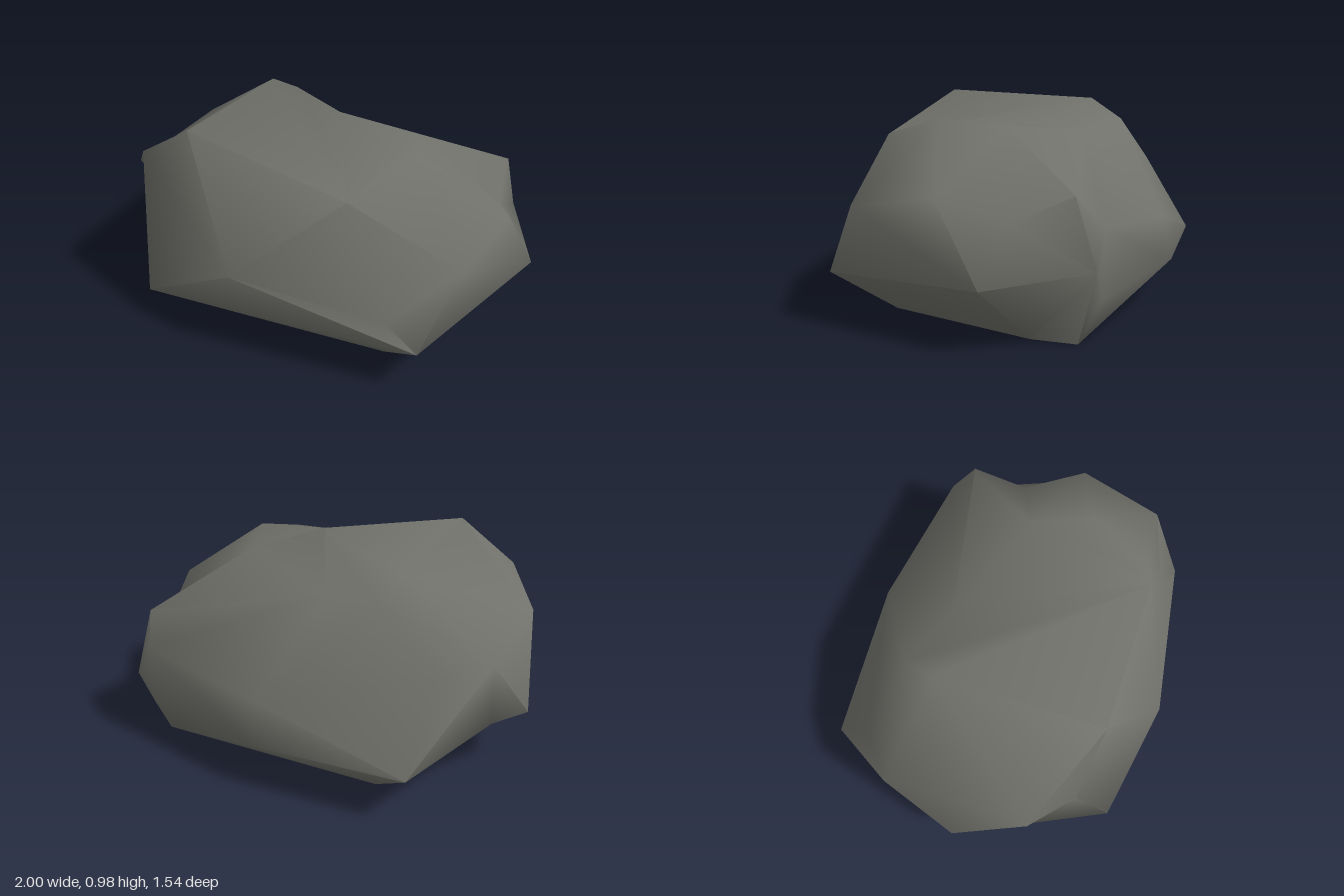
import * as THREE from 'three';
import { toCreasedNormals } from 'three/addons/utils/BufferGeometryUtils.js';

const stone = new THREE.MeshStandardMaterial({ color: 0x70716a });
stone.name = 'dark grey stone';

// Irregular cross-sections, each running front, right, back, left
const base = [[.49, 0, .45], [.7, 0, -.28], [.7, 0, -.49], [-.44, 0, -.49], [-.46, 0, .1], [-.44, 0, .455]];
const belly = [
  [.725, .22, .665], [1, .28, -.16], [.79, .34, -.59], [.705, .2, -.59], [.04, .23, -.77],
  [-.68, .24, -.74], [-.9, .33, -.28], [-1, .28, -.02], [-.65, .15, .68],
];
const shoulder = [
  [-.13, .43, .77], [.56, .3, .62], [.84, .56, .48], [.92, .63, .06], [.8, .52, -.23], [.76, .64, -.49],
  [.7, .5, -.6], [.04, .43, -.73], [-.73, .61, -.5], [-.91, .65, -.35], [-.9, .64, .33], [-.74, .8, .5],
];
const crown = [
  [.34, .81, .55], [.47, .83, .48], [.53, .91, .2], [.43, .88, -.08],
  [-.09, .81, -.3], [-.4, .85, -.42], [-.45, .95, -.25], [-.45, .98, .54],
];

// Joins two rings; each letter steps along the lower (l) or the upper (u) ring
function bridge(lower, upper, steps, out) {
  let i = 0, j = 0;
  const low = (k) => lower[k % lower.length];
  const up = (k) => upper[k % upper.length];
  for (const step of steps) {
    if (step === 'l') {
      out.push(...low(i), ...low(i + 1), ...up(j));
      i++;
    } else {
      out.push(...low(i), ...up(j + 1), ...up(j));
      j++;
    }
  }
}

// Closes a ring with a fan from its first point
function cap(ring, out) {
  for (let k = 1; k < ring.length - 1; k++) out.push(...ring[0], ...ring[k], ...ring[k + 1]);
}

// Sharp ridges on the upper faces, worn and rounded edges near the ground
function wornNormals(geometry) {
  const result = toCreasedNormals(geometry, THREE.MathUtils.degToRad(42));
  const soft = toCreasedNormals(geometry, THREE.MathUtils.degToRad(75)).attributes.normal;
  const { position, normal } = result.attributes;
  for (let k = 0; k < position.count; k++) {
    if (position.getY(k) < 0.25) normal.setXYZ(k, soft.getX(k), soft.getY(k), soft.getZ(k));
  }
  return result;
}

export function createModel() {
  const group = new THREE.Group();
  group.name = 'rock';

  const positions = [];
  bridge(base, belly, 'ululuuluuluullu', positions);
  bridge(belly, shoulder, 'uuluuluulluluulluulul', positions);
  bridge(shoulder, crown, 'lluulullullullululLu'.toLowerCase(), positions);
  cap(crown, positions);
  // Underside, wound the other way to face down
  cap([...base].reverse(), positions);

  const geometry = new THREE.BufferGeometry();
  geometry.setAttribute('position', new THREE.Float32BufferAttribute(positions, 3));
  const boulder = new THREE.Mesh(wornNormals(geometry), stone);
  boulder.name = 'boulder';
  group.add(boulder);
  return group;
}
